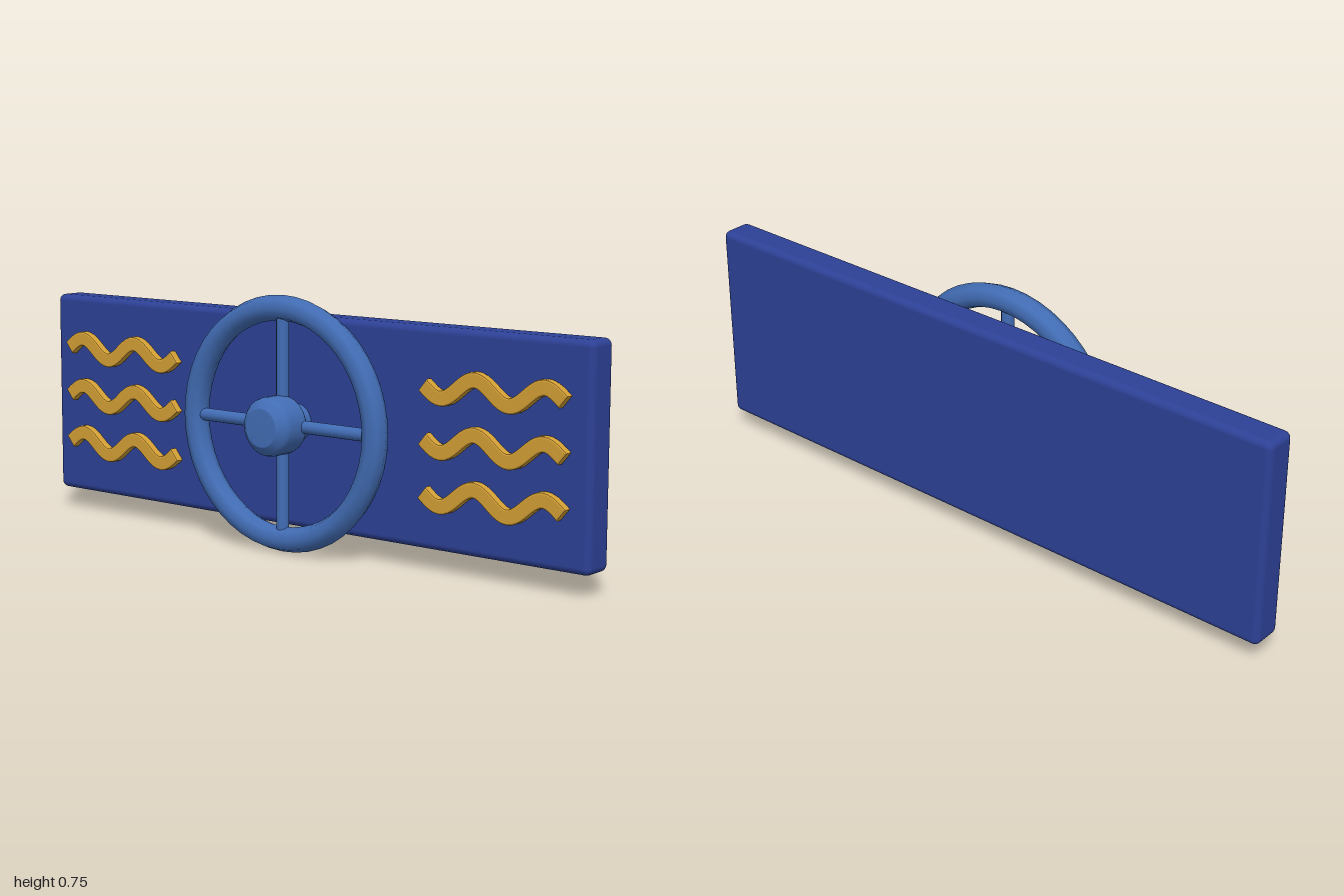
import * as THREE from 'three';
import { RoundedBoxGeometry } from 'three/addons/geometries/RoundedBoxGeometry.js';

const CY = 0.376; // height of the wheel axis
const WZ = 0.0325; // depth of the wheel plane

const paint = (name, color) => {
  const m = new THREE.MeshStandardMaterial({ color });
  m.name = name;
  return m;
};

// Wavy ribbon of constant width, two full periods long
function waveShape(side) {
  const amp = 0.03, length = 0.449, half = 0.017, steps = 40;
  const upper = [], lower = [];
  for (let i = 0; i <= steps; i++) {
    const t = i / steps - 0.5;
    const phase = t * 4 * Math.PI;
    const slope = side * amp * 4 * Math.PI / length * Math.cos(phase);
    const n = new THREE.Vector2(-slope, 1).normalize().multiplyScalar(half);
    const p = new THREE.Vector2(t * length, side * amp * Math.sin(phase));
    upper.push(p.clone().add(n));
    lower.push(p.clone().sub(n));
  }
  return new THREE.Shape([...lower, ...upper.reverse()]);
}

export function createModel() {
  const model = new THREE.Group();
  const panelBlue = paint('panel blue', 0x2d4196);
  const wheelBlue = paint('wheel blue', 0x426db5);
  const gold = paint('gold', 0xd4a035);

  const add = (name, geometry, material, x, y, z, parent = model) => {
    const mesh = new THREE.Mesh(geometry, material);
    mesh.name = name;
    mesh.position.set(x, y, z);
    parent.add(mesh);
    return mesh;
  };

  // Back panel
  add('panel', new RoundedBoxGeometry(2, 0.624, 0.1, 3, 0.02), panelBlue, 0, CY, -0.08);

  // Steering wheel: rim, spokes, hub and shaft
  const wheel = new THREE.Group();
  wheel.name = 'wheel';
  wheel.position.set(0, CY, WZ);
  model.add(wheel);
  add('rim', new THREE.TorusGeometry(0.337, 0.037, 8, 48), wheelBlue, 0, 0, 0, wheel);
  for (let i = 0; i < 4; i++) {
    const a = i * Math.PI / 2;
    const spoke = add('spoke', new THREE.CylinderGeometry(0.019, 0.019, 0.29, 12), wheelBlue,
      -Math.sin(a) * 0.185, Math.cos(a) * 0.185, 0, wheel);
    spoke.rotation.z = a;
  }
  const hubProfile = [
    [0, -0.033], [0.054, -0.033], [0.058, -0.032], [0.076, -0.016], [0.083, -0.007], [0.086, 0.003],
    [0.086, 0.062], [0.083, 0.073], [0.076, 0.082], [0.058, 0.096], [0.054, 0.0975], [0, 0.0975],
  ].map(([r, z]) => new THREE.Vector2(r, z));
  add('hub', new THREE.LatheGeometry(hubProfile, 24), wheelBlue, 0, 0, 0, wheel).rotation.x = Math.PI / 2;
  add('shaft', new THREE.CylinderGeometry(0.055, 0.055, 0.06, 24), wheelBlue, 0, 0, -0.045, wheel)
    .rotation.x = Math.PI / 2;

  // Three mirrored waves on each side
  for (const side of [-1, 1]) {
    const geometry = new THREE.ExtrudeGeometry(waveShape(-side), {
      depth: 0.016, bevelEnabled: true, bevelThickness: 0.005, bevelSize: 0.005, bevelSegments: 2,
    });
    for (const dy of [-0.15, 0, 0.15]) {
      add(side > 0 ? 'leftWave' : 'rightWave', geometry, gold, side * 0.6975, CY + dy, -0.026);
    }
  }
  return model;
}
